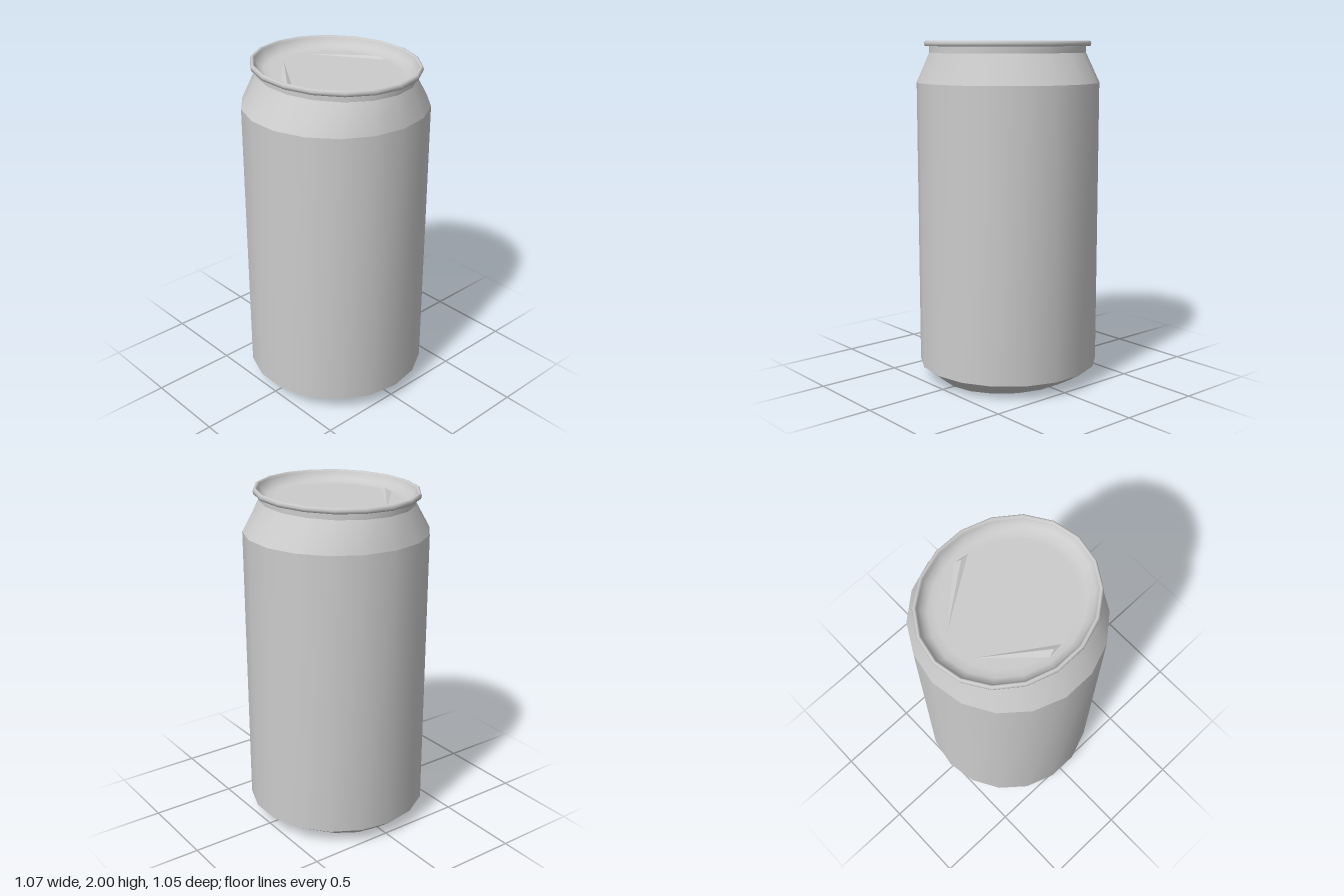
import * as THREE from 'three';

const SIDES = 18;
const material = new THREE.MeshStandardMaterial({ color: 0xcccccc, side: THREE.DoubleSide });

// Smooth surface through elliptical rings [radiusX, radiusZ, y], listed from
// the underside outward, up the wall and back in over the lid.
function loft(name, rings) {
  const positions = [], index = [];
  for (const [rx, rz, y] of rings) {
    for (let j = 0; j < SIDES; j++) {
      const a = (j / SIDES) * Math.PI * 2;
      positions.push(rx * Math.cos(a), y, rz * Math.sin(a));
    }
  }
  for (let i = 0; i < rings.length - 1; i++) {
    for (let j = 0; j < SIDES; j++) {
      const k = (j + 1) % SIDES;
      const a = i * SIDES + j, b = i * SIDES + k, c = a + SIDES, d = b + SIDES;
      index.push(a, c, b, b, c, d);
    }
  }
  return makeMesh(name, positions, index);
}

function makeMesh(name, positions, index) {
  const geometry = new THREE.BufferGeometry();
  geometry.setAttribute('position', new THREE.Float32BufferAttribute(positions, 3));
  geometry.setIndex(index);
  geometry.computeVertexNormals();
  const mesh = new THREE.Mesh(geometry, material);
  mesh.name = name;
  return mesh;
}

// Slim pressed crease in the lid, tapering to a point; side is -1 (back) or 1 (front).
function lidCrease(side) {
  const y = 1.936;
  const positions = [
    -0.34, y, 0.09 * side,
    -0.05, y, 0.355 * side,
    0.04, y, 0.345 * side,
    -0.01, y + 0.014, 0.34 * side,
  ];
  const index = side > 0 ? [0, 1, 3, 1, 2, 3, 2, 0, 3] : [0, 3, 1, 1, 3, 2, 2, 3, 0];
  const mesh = makeMesh(side > 0 ? 'lidCreaseFront' : 'lidCreaseBack', positions, index);
  mesh.geometry = mesh.geometry.toNonIndexed();
  mesh.geometry.computeVertexNormals();
  return mesh;
}

export function createModel() {
  const can = new THREE.Group();
  can.name = 'drinkCan';

  can.add(
    // Hollow underside
    loft('bottomDome', [
      [0, 0, 0.065], [0.2, 0.18, 0.062], [0.34, 0.305, 0.045], [0.42, 0.38, 0],
    ]),
    // Tapered foot
    loft('baseTaper', [[0.42, 0.38, 0], [0.475, 0.457, 0.043], [0.533, 0.533, 0.09]]),
    // Straight wall
    loft('bodyWall', [[0.533, 0.533, 0.09], [0.533, 0.533, 1.76]]),
    // Shoulder narrowing to the neck
    loft('shoulder', [[0.533, 0.533, 1.76], [0.478, 0.424, 1.93]]),
    loft('neck', [[0.478, 0.424, 1.93], [0.478, 0.424, 1.968]]),
    // Rolled rim
    loft('rim', [
      [0.478, 0.424, 1.968], [0.502, 0.452, 1.968], [0.506, 0.456, 1.983],
      [0.502, 0.452, 1.996], [0.494, 0.443, 2], [0.486, 0.435, 1.996], [0.482, 0.431, 1.985],
    ]),
    // Recessed lid
    loft('lid', [
      [0.482, 0.431, 1.985], [0.465, 0.415, 1.953], [0.43, 0.385, 1.937],
      [0.385, 0.345, 1.935], [0, 0, 1.935],
    ]),
    lidCrease(1),
    lidCrease(-1),
  );
  return can;
}
